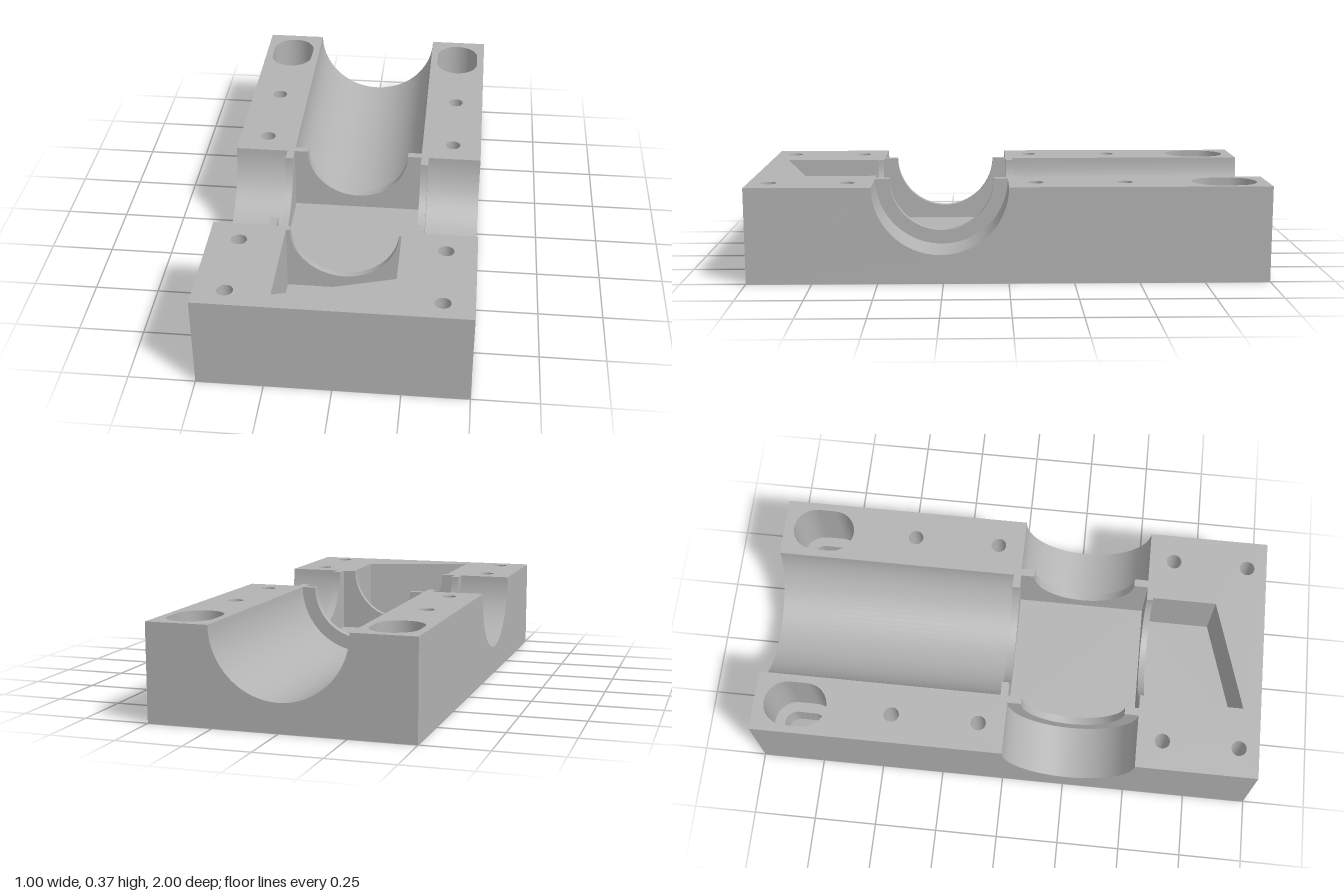
import * as THREE from 'three';

const H = 0.37;        // block height
const FLOOR = 0.11;    // pocket floor level
const R = 0.26;        // channel radius
const r = 0.205;       // radius of the lips between channels and pocket
const CZ = 0.26;       // centre of the cross channel and pocket

// Local (a, b, depth) frames: 'x' = (z, y, x), 'y' = (x, z, y), 'z' = (x, y, z)
const V = (x, y, z) => new THREE.Vector3(x, y, z);
const X = V(1, 0, 0), Y = V(0, 1, 0), Z = V(0, 0, 1);
const frames = {
  x: new THREE.Matrix4().makeBasis(Z, Y, X),
  y: new THREE.Matrix4().makeBasis(X, Z, Y),
  z: new THREE.Matrix4().makeBasis(X, Y, Z),
};

const vec = (list) => list.map(([a, b]) => new THREE.Vector2(a, b));

// Points along an arc, from angle t0 to t1
function arc(ca, cb, radius, t0, t1, n = 40) {
  return Array.from({ length: n + 1 }, (_, i) => {
    const t = t0 + (t1 - t0) * i / n;
    return [ca + radius * Math.cos(t), cb + radius * Math.sin(t)];
  });
}
const halfDown = (c, radius) => arc(c, H, radius, 0, -Math.PI);
const ring = (a, b, radius, n, start = 0) =>
  arc(a, b, radius, start, start + Math.PI * 2, n).slice(0, -1);
const slot = (a, b, radius, half) => [
  ...arc(a, b + half, radius, 0, Math.PI, 20),
  ...arc(a, b - half, radius, Math.PI, Math.PI * 2, 20),
];
// Upright plate with a half-round notch in its top edge
const notched = (a0, a1, b0, c, radius) =>
  [[a0, b0], [a1, b0], [a1, H], ...halfDown(c, radius), [a0, H]];
const halfAnnulus = (c) => [...halfDown(c, R), ...halfDown(c, r).reverse()];

export function createModel() {
  const group = new THREE.Group();
  const grey = new THREE.MeshStandardMaterial({ color: 0xb3b3b3, side: THREE.DoubleSide });
  grey.name = 'grey';

  function add(name, geometry, axis) {
    geometry.applyMatrix4(frames[axis]);
    geometry.computeVertexNormals();
    const mesh = new THREE.Mesh(geometry, grey);
    mesh.name = name;
    group.add(mesh);
  }

  // Flat face with optional holes, at a given depth
  function face(name, axis, depth, outline, holes = []) {
    const shape = new THREE.Shape(vec(outline));
    shape.holes = holes.map((h) => new THREE.Path(vec(h)));
    add(name, new THREE.ShapeGeometry(shape).translate(0, 0, depth), axis);
  }

  // Wall swept from an outline between two depths
  function wall(name, axis, d0, d1, points, { closed = false, smooth = true } = {}) {
    const pos = [], index = [], n = points.length;
    points.forEach(([a, b]) => pos.push(a, b, d0, a, b, d1));
    for (let i = 0; i < (closed ? n : n - 1); i++) {
      const p = 2 * i, q = 2 * ((i + 1) % n);
      index.push(p, q, p + 1, q, q + 1, p + 1);
    }
    const g = new THREE.BufferGeometry();
    g.setAttribute('position', new THREE.Float32BufferAttribute(pos, 3));
    g.setIndex(index);
    add(name, smooth ? g : g.toNonIndexed(), axis);
  }

  const loop = { closed: true };
  const flatLoop = { closed: true, smooth: false };
  const boltX = 0.385, slotX = 0.38, slotZ = -0.835;
  const backBolts = [-0.45, -0.105], frontBolts = [0.62, 0.92];
  const NUT = 0.1, COUNTERBORE = 0.1;
  const bolt = (x, z) => ring(x, z, 0.03, 28);
  const nut = (x, z) => ring(x, z, 0.052, 6, Math.PI / 2);
  const bigSlot = (x) => slot(x, slotZ, 0.09, 0.035);
  const smallSlot = (x) => slot(x, slotZ, 0.048, 0.035);
  const bottomHoles = [];

  for (const s of [1, -1]) {
    // Top of each rear rail
    const rail = [[R, -1], [0.5, -1], [0.5, 0], [0.29, 0], [0.29, CZ - r], [0.26, CZ - r],
      [0.26, 0], [r, 0], [r, -0.03], [R, -0.03]].map(([x, z]) => [s * x, z]);
    face('railTop', 'y', H, rail,
      [bigSlot(s * slotX), ...backBolts.map((z) => bolt(s * boltX, z))]);

    // Counterbored mounting slots
    wall('slotCounterbore', 'y', COUNTERBORE, H, bigSlot(s * slotX), loop);
    face('slotLedge', 'y', COUNTERBORE, bigSlot(s * slotX), [smallSlot(s * slotX)]);
    wall('slotBore', 'y', 0, COUNTERBORE, smallSlot(s * slotX), loop);
    bottomHoles.push(smallSlot(s * slotX));

    // Bolt holes with hexagonal nut recesses underneath
    for (const z of [...backBolts, ...frontBolts]) {
      wall('boltHole', 'y', NUT, H, bolt(s * boltX, z), loop);
      face('nutSeat', 'y', NUT, nut(s * boltX, z), [bolt(s * boltX, z)]);
      wall('nutRecess', 'y', 0, NUT, nut(s * boltX, z), flatLoop);
      bottomHoles.push(nut(s * boltX, z));
    }

    // Outer side, cross channel, its lip and the pocket side
    face('outerSide', 'x', s * 0.5, notched(-1, 1, 0, CZ, R));
    wall('crossChannel', 'x', s * 0.29, s * 0.5, halfDown(CZ, R));
    face('crossLipFace', 'x', s * 0.29, halfAnnulus(CZ));
    wall('crossLip', 'x', s * 0.26, s * 0.29, halfDown(CZ, r));
    face('pocketSide', 'x', s * 0.26, notched(0, 0.52, FLOOR, CZ, r));
  }

  // Front pocket outline, with its slanted front wall
  const frontPocket = [[-0.22, 0.545], [-0.22, 0.93], [0.215, 0.8], [0.215, 0.545]];

  // Top of the front end
  face('frontTop', 'y', H, [
    [-0.5, 1], [-0.5, 0.52], [-0.29, 0.52], [-0.29, CZ + r], [-0.26, CZ + r], [-0.26, 0.52],
    [-r, 0.52], [-r, 0.545], ...frontPocket, [r, 0.545], [r, 0.52],
    [0.26, 0.52], [0.26, CZ + r], [0.29, CZ + r], [0.29, 0.52], [0.5, 0.52], [0.5, 1],
  ], [1, -1].flatMap((s) => frontBolts.map((z) => bolt(s * boltX, z))));

  // Underside and end faces
  face('underside', 'y', 0, [[-0.5, -1], [0.5, -1], [0.5, 1], [-0.5, 1]], bottomHoles);
  face('frontEnd', 'z', 1, [[-0.5, 0], [0.5, 0], [0.5, H], [-0.5, H]]);
  face('backEnd', 'z', -1, notched(-0.5, 0.5, 0, 0, R));

  // Long rear channel and its lip
  wall('rearChannel', 'z', -1, -0.03, halfDown(0, R));
  face('rearLipFace', 'z', -0.03, halfAnnulus(0));
  wall('rearLip', 'z', -0.03, 0, halfDown(0, r));

  // Central square pocket
  face('pocketBack', 'z', 0, notched(-0.26, 0.26, FLOOR, 0, r));
  face('pocketFront', 'z', 0.52, notched(-0.26, 0.26, FLOOR, 0, r));
  face('pocketFloor', 'y', FLOOR, [[-0.26, 0], [0.26, 0], [0.26, 0.52], [-0.26, 0.52]]);

  // Front lip and slanted front pocket
  wall('frontLip', 'z', 0.52, 0.545, halfDown(0, r));
  face('frontPocketBack', 'z', 0.545, notched(-0.22, 0.215, FLOOR, 0, r));
  wall('frontPocketWalls', 'y', FLOOR, H, frontPocket, { smooth: false });
  face('frontPocketFloor', 'y', FLOOR, frontPocket);

  return group;
}
